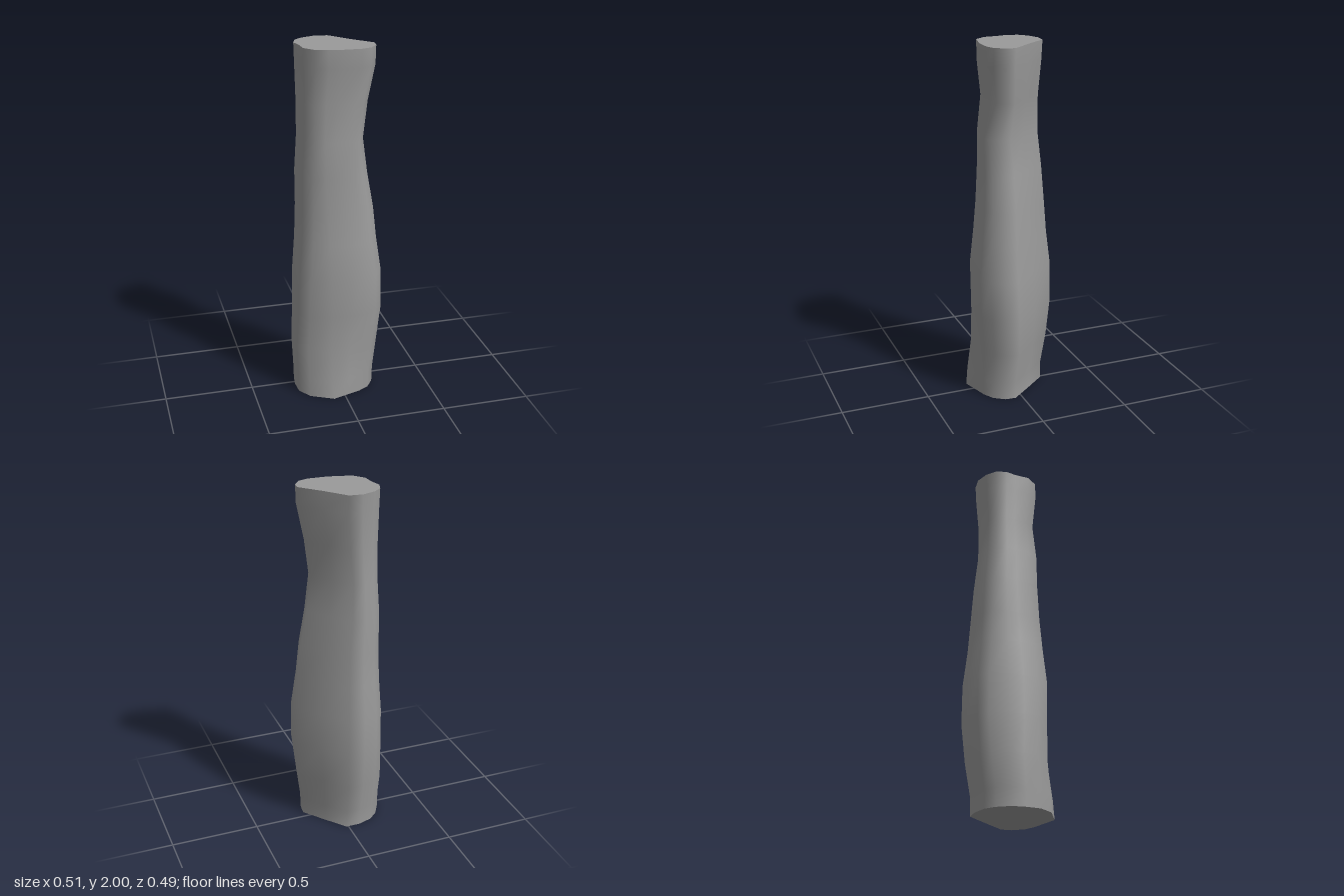
import * as THREE from 'three';

// Outlines [x, z] at the foot, the bulge and the upper end, running from +x towards +z
const LOWER = [[0.195, 0.04], [0.19, 0.1], [0.15, 0.16], [0.09, 0.195], [0.03, 0.213],
  [-0.07, 0.245], [-0.195, 0.18], [-0.245, 0.105], [-0.25, 0.02], [-0.24, -0.05],
  [-0.2, -0.12], [-0.15, -0.165], [-0.07, -0.19], [0.01, -0.19], [0.1, -0.08]];
const MIDDLE = [[0.255, 0.04], [0.24, 0.11], [0.19, 0.175], [0.115, 0.21], [0.035, 0.213],
  [-0.07, 0.205], [-0.19, 0.165], [-0.238, 0.1], [-0.245, 0.02], [-0.24, -0.06],
  [-0.205, -0.16], [-0.16, -0.205], [-0.075, -0.24], [0.02, -0.24], [0.135, -0.1]];
const UPPER = [[0.2, 0.04], [0.195, 0.09], [0.155, 0.145], [0.1, 0.165], [-0.01, 0.163],
  [-0.075, 0.148], [-0.14, 0.133], [-0.19, 0.07], [-0.195, -0.01], [-0.21, -0.07],
  [-0.19, -0.13], [-0.145, -0.17], [-0.07, -0.198], [0.005, -0.19], [0.1, -0.07]];

// Extents of the trunk by height: [y, xMin, xMax, zMin, zMax]
const LEVELS = [
  [0, -0.25, 0.198, -0.19, 0.245],
  [0.1, -0.252, 0.202, -0.192, 0.235],
  [0.28, -0.256, 0.23, -0.222, 0.21],
  [0.5, -0.245, 0.255, -0.243, 0.215],
  [0.72, -0.237, 0.247, -0.243, 0.22],
  [0.92, -0.222, 0.217, -0.222, 0.197],
  [1.1, -0.215, 0.198, -0.211, 0.18],
  [1.3, -0.215, 0.162, -0.202, 0.167],
  [1.5, -0.204, 0.133, -0.183, 0.165],
  [1.7, -0.203, 0.162, -0.177, 0.143],
  [1.9, -0.208, 0.198, -0.19, 0.168],
  [2, -0.21, 0.201, -0.195, 0.168],
];

// Blend neighbouring outlines at a height, then fit the result to that level's extents
function ring([y, xMin, xMax, zMin, zMax]) {
  const [from, to, t] = y < 0.5 ? [LOWER, MIDDLE, y / 0.5] : [MIDDLE, UPPER, Math.min(1, y - 0.5)];
  const pts = from.map(([x, z], i) => new THREE.Vector2(
    THREE.MathUtils.lerp(x, to[i][0], t), THREE.MathUtils.lerp(z, to[i][1], t)));
  const { min, max } = new THREE.Box2().setFromPoints(pts);
  return pts.map((p) => new THREE.Vector3(
    THREE.MathUtils.mapLinear(p.x, min.x, max.x, xMin, xMax), y,
    THREE.MathUtils.mapLinear(p.y, min.y, max.y, zMin, zMax)));
}

function buildGeometry(points, index) {
  const geometry = new THREE.BufferGeometry().setFromPoints(points);
  geometry.setIndex(index);
  geometry.computeVertexNormals();
  return geometry;
}

// Smooth side wall through all rings
function wallGeometry(rings) {
  const n = LOWER.length;
  const index = [];
  for (let j = 0; j < rings.length - 1; j++) {
    for (let i = 0; i < n; i++) {
      const a = j * n + i, b = j * n + (i + 1) % n;
      index.push(a, a + n, b, b, a + n, b + n);
    }
  }
  return buildGeometry(rings.flat(), index);
}

// Flat end cut
function capGeometry(points, up) {
  const n = points.length;
  const index = [];
  for (let i = 0; i < n; i++) {
    const k = (i + 1) % n;
    index.push(n, up ? k : i, up ? i : k);
  }
  return buildGeometry([...points, new THREE.Vector3(0, points[0].y, 0)], index);
}

export function createModel() {
  const group = new THREE.Group();
  group.name = 'log';
  const material = new THREE.MeshStandardMaterial({ color: 0x9a9a9a });
  const add = (name, geometry) => {
    const mesh = new THREE.Mesh(geometry, material);
    mesh.name = name;
    group.add(mesh);
  };
  const rings = LEVELS.map(ring);
  add('trunk', wallGeometry(rings));
  add('bottomCut', capGeometry(rings[0], false));
  add('topCut', capGeometry(rings[rings.length - 1], true));
  return group;
}
